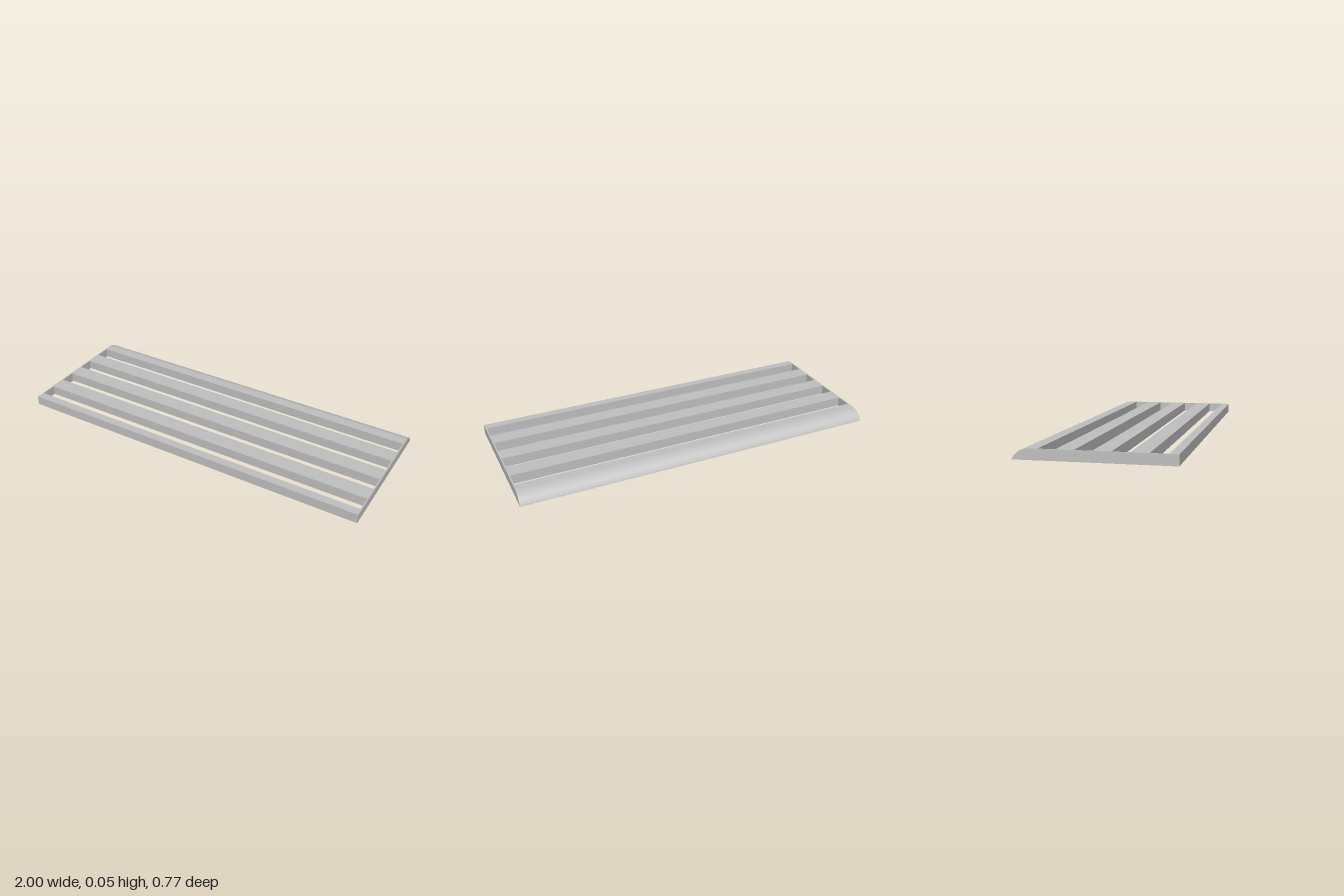
import * as THREE from 'three';
import { toCreasedNormals } from 'three/addons/utils/BufferGeometryUtils.js';

const HEIGHT = 0.053, BACK = -0.384, FRONT = 0.384, LENGTH = 2, CAP = 0.007;

// side profile (shape x = model z): flat top, rounded rear edge, square front
function profile(frontZ) {
  const angle = 2 * Math.atan(HEIGHT / 0.08);
  const radius = 0.08 / Math.sin(angle);
  const shape = new THREE.Shape();
  shape.moveTo(BACK, 0);
  shape.lineTo(frontZ, 0);
  shape.lineTo(frontZ, HEIGHT);
  shape.lineTo(BACK + 0.08, HEIGHT);
  shape.absarc(BACK + 0.08, HEIGHT - radius, radius, Math.PI / 2, Math.PI / 2 + angle, false);
  return shape;
}

// extrude a profile along x, centred on x = 0
function extrudeAlongX(shape, length) {
  const geo = new THREE.ExtrudeGeometry(shape, { depth: length, bevelEnabled: false, curveSegments: 20 });
  geo.translate(0, 0, -length / 2);
  geo.rotateY(-Math.PI / 2);
  return toCreasedNormals(geo, 0.5);
}

export function createModel() {
  const group = new THREE.Group();
  const grey = new THREE.MeshStandardMaterial({ color: 0xc0c0c0 });
  grey.name = 'light grey';
  const add = (name, geo, x = 0, y = 0, z = 0) => {
    const mesh = new THREE.Mesh(geo, grey);
    mesh.name = name;
    mesh.position.set(x, y, z);
    group.add(mesh);
  };
  const inner = LENGTH - 2 * CAP;

  // rounded rear nosing
  add('nosing', extrudeAlongX(profile(-0.262), inner));

  // straight slats, the last one forming the front edge
  const slats = [[-0.177, -0.091], [-0.005, 0.081], [0.167, 0.253], [0.339, FRONT]];
  slats.forEach(([a, b], i) => {
    const name = i === slats.length - 1 ? 'frontEdge' : `slat${i + 1}`;
    add(name, new THREE.BoxGeometry(inner, HEIGHT, b - a), 0, HEIGHT / 2, (a + b) / 2);
  });

  // thin end plates
  for (const side of [-1, 1]) {
    add(side > 0 ? 'leftEndPlate' : 'rightEndPlate',
      extrudeAlongX(profile(FRONT), CAP), side * (LENGTH - CAP) / 2);
  }
  return group;
}
